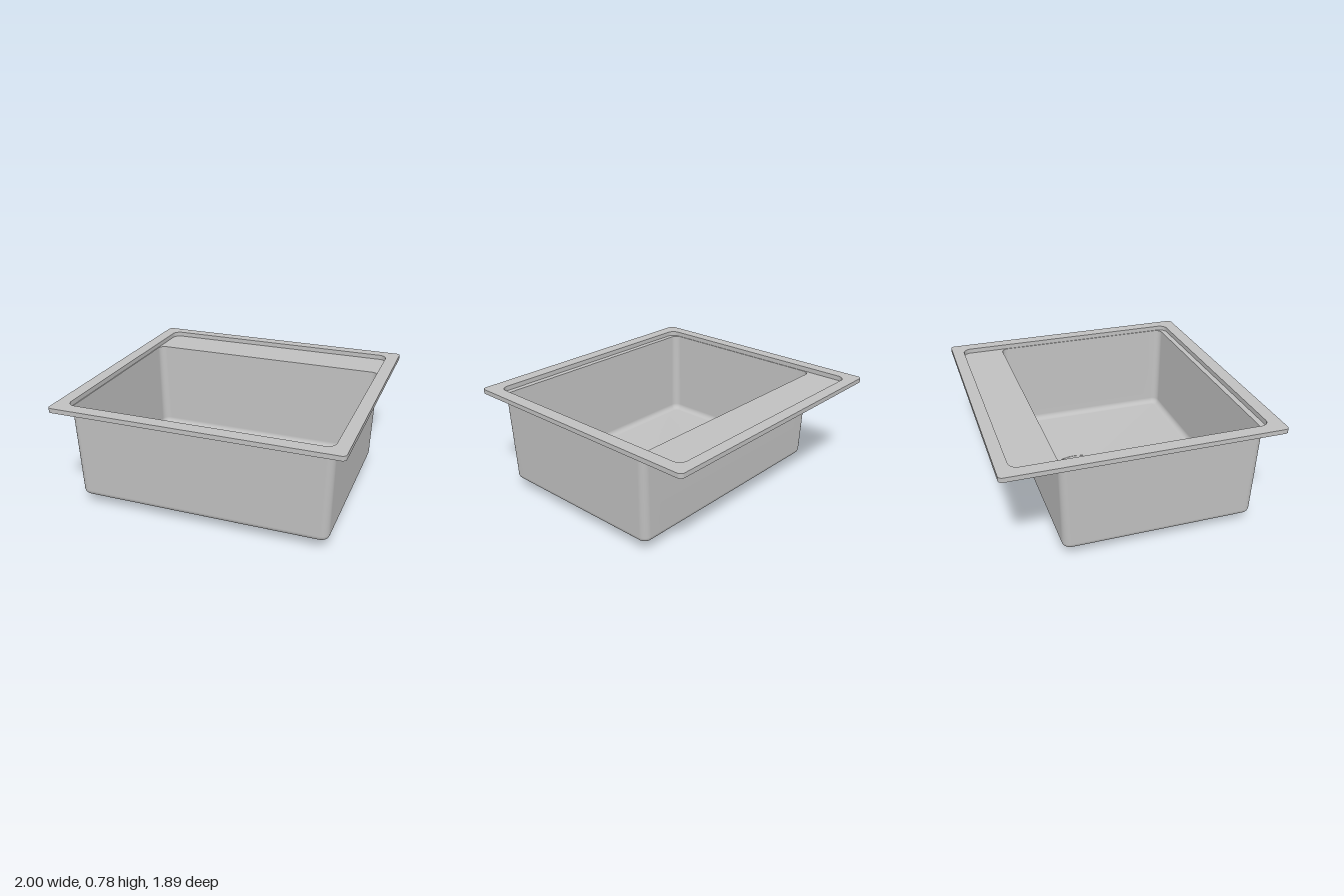
import * as THREE from 'three';

const CORNER = 8, EDGE = 18;   // subdivisions per corner and per straight edge
const BOWL_Z = 0.127, TRAY_Z = -0.005, DRAIN_Z = -0.168;

// Rounded rectangle outline at height y, as a closed ring of points
function rect(hx, hz, r, y, cz = 0) {
  const corners = [[1, 1], [-1, 1], [-1, -1], [1, -1]].map(([sx, sz], q) => {
    const pts = [];
    for (let i = 0; i <= CORNER; i++) {
      const a = (q + i / CORNER) * Math.PI / 2;
      pts.push(new THREE.Vector3(sx * (hx - r) + r * Math.cos(a), y, cz + sz * (hz - r) + r * Math.sin(a)));
    }
    return pts;
  });
  return corners.flatMap((pts, q) => {
    const from = pts[CORNER], to = corners[(q + 1) % 4][0], edge = [];
    for (let i = 1; i < EDGE; i++) edge.push(from.clone().lerp(to, i / EDGE));
    return [...pts, ...edge];
  });
}

// Circle round the drain whose points line up with those of the bowl outline
function circle(r, y) {
  return rect(0.85, 0.635, 0.02, y, BOWL_Z).map((p) => {
    const a = Math.atan2(p.z - DRAIN_Z, p.x);
    return new THREE.Vector3(r * Math.cos(a), y, DRAIN_Z + r * Math.sin(a));
  });
}

// Smooth skin through a list of rings
function loft(rings) {
  const n = rings[0].length, index = [];
  for (let k = 0; k < rings.length - 1; k++) {
    for (let i = 0; i < n; i++) {
      const j = (i + 1) % n, a = k * n, b = a + n;
      index.push(a + i, a + j, b + i, a + j, b + j, b + i);
    }
  }
  const geo = new THREE.BufferGeometry().setFromPoints(rings.flat());
  geo.setIndex(index);
  geo.computeVertexNormals();
  return geo;
}

// Bowl rings from the top edge down through the rounded bottom edge; t is the inset of the skin
function bowlRings(t, top, floor) {
  const rings = [rect(0.91 - t, 0.689 - t, 0.05, top, BOWL_Z)];
  const R = 0.042, hx = 0.891 - t, hz = 0.672 - t;
  for (let i = 0; i <= 6; i++) {
    const a = (i / 6) * Math.PI / 2, inset = R * (1 - Math.cos(a));
    rings.push(rect(hx - inset, hz - inset, 0.055 - inset * 0.75, floor + R * (1 - Math.sin(a)), BOWL_Z));
  }
  return rings;
}

export function createModel() {
  const group = new THREE.Group();
  group.name = 'kitchenSink';
  const steel = new THREE.MeshStandardMaterial({ color: 0xc0c0c0 });
  steel.name = 'brushed steel';

  const add = (name, geo) => {
    const mesh = new THREE.Mesh(geo, steel);
    mesh.name = name;
    group.add(mesh);
    return mesh;
  };

  // Outline helpers for the rim and the sunken tray
  const outer = (y, t = 0) => rect(1 - t, 0.945 - t, 0.03, y);
  const tray = (y, t = 0) => rect(0.91 + t, 0.856 + t, 0.06 + t, y, TRAY_Z);

  // Rim with a turned-down edge, hollow underneath
  add('rimTop', loft([tray(0.78), outer(0.78)]));
  add('rimEdge', loft([outer(0.78), outer(0.748)]));
  add('rimLip', loft([outer(0.748), outer(0.748, 0.008)]));
  add('rimEdgeInside', loft([outer(0.748, 0.008), outer(0.773, 0.008)]));
  add('rimUnderside', loft([outer(0.773, 0.008), tray(0.773, 0.006)]));

  // Sunken tray forming the ledge behind the bowl
  const inside = bowlRings(0.006, 0.746, 0.077);
  const outside = bowlRings(0, 0.74, 0.071);
  add('trayWall', loft([tray(0.746), tray(0.78)]));
  add('trayFloor', loft([inside[0], tray(0.746)]));
  add('trayWallOutside', loft([tray(0.773, 0.006), tray(0.74, 0.006)]));
  add('trayUnderside', loft([tray(0.74, 0.006), outside[0]]));

  // Bowl skins, with the floor falling gently to the drain
  add('bowlInside', loft([circle(0.22, 0.069), ...inside.reverse()]));
  add('bowlOutside', loft([...outside, circle(0.18, 0.06)]));

  // Drain: flush cover in a narrow groove, flared neck and closed outlet below
  add('drainGroove', loft([circle(0.2, 0.063), circle(0.22, 0.063)]));
  add('drainGrooveWall', loft([circle(0.22, 0.063), circle(0.22, 0.069)]));
  const cover = add('drainCover', new THREE.CylinderGeometry(0.216, 0.216, 0.006, 64));
  cover.position.set(0, 0.066, DRAIN_Z);
  add('drainNeck', loft([
    circle(0.18, 0.06), circle(0.163, 0.057), circle(0.15, 0.05),
    circle(0.14, 0.041), circle(0.135, 0.032), circle(0.134, 0),
  ]));
  add('drainOutlet', loft([circle(0.134, 0), circle(0, 0)]));

  return group;
}
